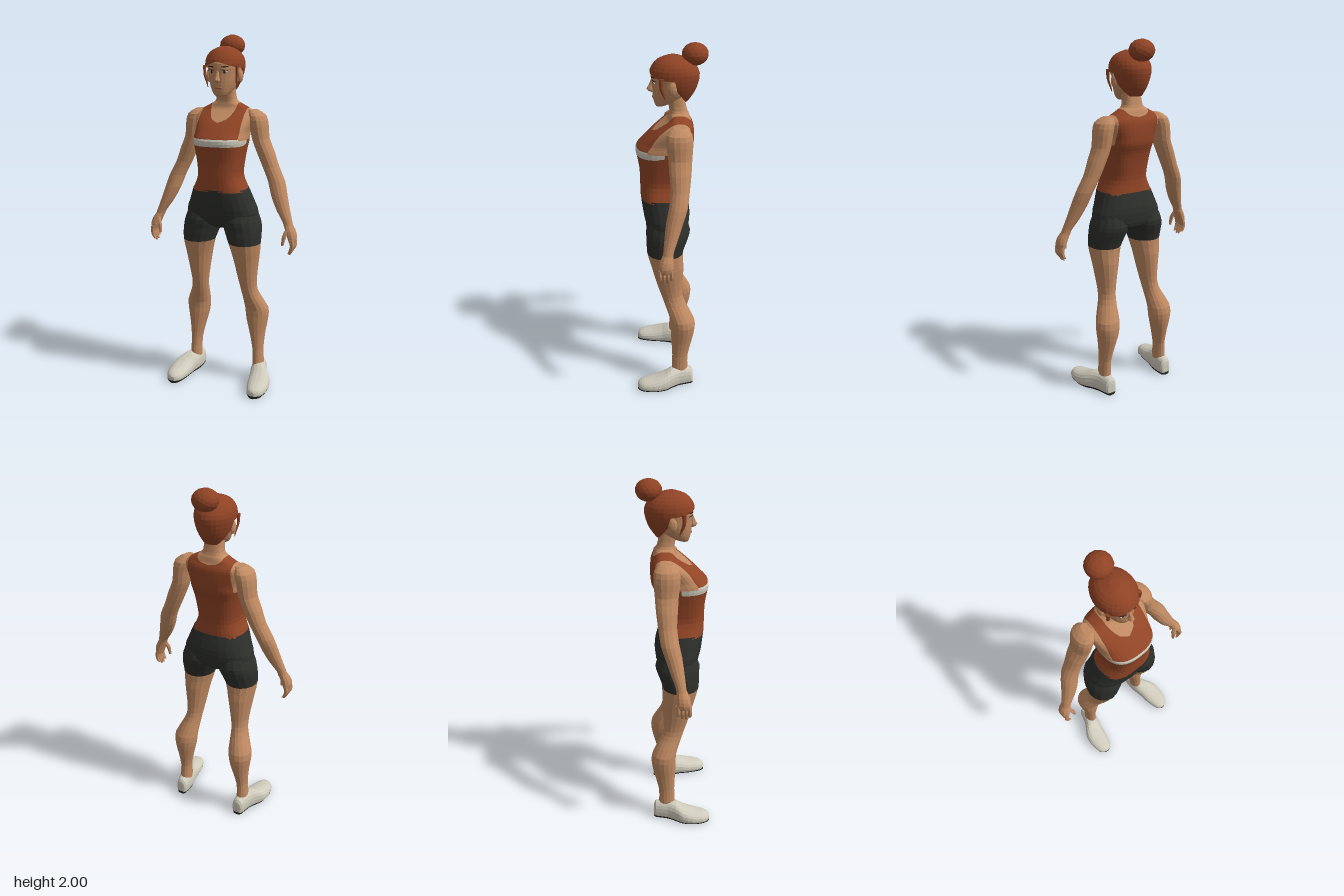
import * as THREE from 'three';

const mat = (name, color, extra = {}) => new THREE.MeshStandardMaterial({ name, color, ...extra });

// Loft through rings [x, y, z, radiusX, radiusZ]; p squares the section, sub adds curved in-between rings
function loft(rings, { n = 14, p = 2, sub = 2 } = {}) {
  const list = rings[0][1] > rings[rings.length - 1][1] ? [...rings].reverse() : rings;
  const curve = new THREE.CubicInterpolant(list.map((_, i) => i), list.flat(), 5);
  const rows = [];
  for (let i = 0; i <= (list.length - 1) * sub; i++) {
    const [x, y, z, rx, rz] = Array.from(curve.evaluate(i / sub));
    const row = [];
    for (let j = 0; j < n; j++) {
      const a = (j / n) * Math.PI * 2, c = Math.cos(a), s = Math.sin(a);
      row.push([
        x + rx * Math.sign(c) * Math.abs(c) ** (2 / p), y,
        z + rz * Math.sign(s) * Math.abs(s) ** (2 / p)
      ]);
    }
    row.center = [x, y, z];
    rows.push(row);
  }
  const out = [], last = rows[rows.length - 1];
  for (let j = 0; j < n; j++) {
    const k = (j + 1) % n;
    for (let i = 0; i < rows.length - 1; i++) {
      const a = rows[i][j], b = rows[i][k], c = rows[i + 1][j], d = rows[i + 1][k];
      out.push(a, c, b, b, c, d);
    }
    out.push(rows[0].center, rows[0][j], rows[0][k], last.center, last[k], last[j]);
  }
  return fromPoints(out);
}

function fromPoints(points) {
  const g = new THREE.BufferGeometry();
  g.setAttribute('position', new THREE.Float32BufferAttribute(points.flat(), 3));
  g.computeVertexNormals();
  return g;
}

function toPoints(geo) {
  const g = geo.index ? geo.toNonIndexed() : geo, pos = g.attributes.position, pts = [];
  for (let i = 0; i < pos.count; i++) pts.push([pos.getX(i), pos.getY(i), pos.getZ(i)]);
  return pts;
}

// Keep the part of a surface where field(x, y, z) is positive
function keep(geo, field) {
  const pts = toPoints(geo), out = [];
  for (let i = 0; i < pts.length; i += 3) {
    const poly = [];
    for (let j = 0; j < 3; j++) {
      const a = pts[i + j], b = pts[i + (j + 1) % 3], fa = field(...a), fb = field(...b);
      if (fa >= 0) poly.push(a);
      if ((fa >= 0) !== (fb >= 0)) poly.push(a.map((v, k) => v + (b[k] - v) * fa / (fa - fb)));
    }
    for (let j = 1; j + 1 < poly.length; j++) out.push(poly[0], poly[j], poly[j + 1]);
  }
  return fromPoints(out);
}

const flat = geo => fromPoints(toPoints(geo));
const not = f => (x, y, z) => -f(x, y, z);

function mirror(geo) {
  const pts = toPoints(geo).map(([x, y, z]) => [-x, y, z]);
  for (let i = 0; i < pts.length; i += 3) [pts[i + 1], pts[i + 2]] = [pts[i + 2], pts[i + 1]];
  return fromPoints(pts);
}

const blob = (x, y, z, rx, ry, rz, d = 1) =>
  flat(new THREE.IcosahedronGeometry(1, d).scale(rx, ry, rz).translate(x, y, z));

export function createModel() {
  const model = new THREE.Group();
  model.name = 'athlete';
  const skin = mat('skin', 0xc08a62);
  const shirt = mat('rust shirt', 0x914526);
  const hair = mat('auburn hair', 0x8f4325, { side: THREE.DoubleSide });
  const shorts = mat('charcoal shorts', 0x2e302c);
  const white = mat('off white', 0xcfcbbc);
  const dark = mat('dark sole', 0x262624);
  const brow = mat('dark brown', 0x3a2219);
  const lip = mat('lip', 0xa5644c);

  const add = (name, geo, material) => {
    const m = new THREE.Mesh(geo, material);
    m.name = name;
    model.add(m);
  };
  const pair = (name, geo, material) => {
    add('left ' + name, geo, material);
    add('right ' + name, mirror(geo), material);
  };

  // Torso and neck, divided into shirt, stripe and skin
  const torso = loft([
    [0, 1.17, .037, .155, .122], [0, 1.25, .041, .122, .121], [0, 1.33, .037, .127, .127],
    [0, 1.40, .035, .138, .140], [0, 1.45, .029, .146, .154], [0, 1.49, .010, .147, .140],
    [0, 1.54, -.017, .160, .113], [0, 1.58, -.040, .165, .085], [0, 1.61, -.050, .132, .060],
    [0, 1.635, -.050, .085, .052], [0, 1.66, -.045, .056, .046], [0, 1.74, -.03, .05, .045]
  ], { n: 36, p: 2.6, sub: 3 });
  const shirtArea = (x, y, z) => {
    const armhole = Math.max(1.45 - y, .127 - Math.abs(x));
    const depth = z > -.05 ? .10 : .04;
    const neckline = (Math.hypot(x / .075, (1.64 - y) / depth) - 1) * .08;
    return Math.min(armhole, neckline, 1.64 - y);
  };
  const stripeArea = (x, y, z) => Math.min(y - 1.42, 1.46 - y, z - .03);
  const top = keep(torso, shirtArea);
  add('upper body', keep(torso, not(shirtArea)), skin);
  add('tank top', keep(top, not(stripeArea)), shirt);
  add('chest stripe', keep(top, stripeArea), white);

  // Shorts hips
  add('shorts hips', loft([
    [0, 1.18, .037, .156, .124], [0, 1.10, .021, .186, .131], [0, 1.04, .015, .206, .126],
    [0, .99, .012, .17, .112], [0, .955, .01, .06, .07]
  ], { n: 24, p: 2.3 }), shorts);

  // Legs, with the shorts ending above the knee
  const leg = loft([
    [.105, 1.06, .010, .09, .10], [.111, 1.00, .012, .107, .122], [.122, .95, .017, .107, .115],
    [.137, .87, .030, .092, .100], [.143, .78, .016, .074, .090], [.146, .68, .005, .057, .075],
    [.150, .60, -.008, .047, .062], [.160, .54, -.028, .050, .062], [.183, .45, -.066, .068, .070],
    [.186, .38, -.070, .064, .070], [.190, .30, -.064, .047, .060], [.197, .20, -.055, .032, .046],
    [.200, .12, -.053, .033, .047], [.200, .06, -.053, .033, .047]
  ], { n: 16 });
  const shortsArea = (x, y) => y - .87;
  pair('shorts leg', keep(leg, shortsArea), shorts);
  pair('leg', keep(leg, not(shortsArea)), skin);

  // Shoes: lofted from heel to toe, laid down and flattened underneath
  const shoeRing = ([z, x, rx, h]) => [x, z, -h * .42, rx, h * .58];
  const shoe = fromPoints(toPoints(loft([
    [-.132, .200, .018, .07], [-.12, .200, .034, .105], [-.05, .207, .046, .118], [.0, .225, .056, .115],
    [.04, .241, .063, .096], [.10, .249, .063, .076], [.16, .252, .050, .063], [.187, .251, .034, .052],
    [.2, .25, .012, .04]
  ].map(shoeRing), { n: 18, p: 2.3 }).rotateX(Math.PI / 2)).map(([x, y, z]) => [x, Math.max(y, 0), z]));
  const soleArea = (x, y) => .016 - y;
  pair('shoe', keep(shoe, not(soleArea)), white);
  pair('shoe sole', keep(shoe, soleArea), dark);

  // Arms
  pair('arm', loft([
    [.155, 1.605, -.045, .025, .035], [.176, 1.575, -.045, .050, .066], [.190, 1.52, -.045, .050, .070],
    [.200, 1.45, -.047, .047, .063], [.228, 1.38, -.047, .049, .058], [.260, 1.30, -.045, .046, .050],
    [.299, 1.22, -.034, .047, .049], [.321, 1.15, -.015, .046, .045], [.352, 1.07, .005, .038, .036],
    [.382, 1.01, .020, .027, .028], [.392, .98, .024, .026, .028]
  ]), skin);

  // Hands: palm, thumb and four fingers
  pair('palm', loft([
    [.386, 1.00, .022, .024, .026], [.403, .965, .030, .029, .035], [.415, .93, .034, .026, .040],
    [.418, .90, .036, .017, .036]
  ], { n: 10 }), skin);
  pair('thumb', loft([
    [.393, .975, .045, .012, .014], [.377, .935, .062, .012, .013], [.370, .885, .068, .007, .008]
  ], { n: 6 }), skin);
  [.842, .832, .834, .85].forEach((tip, i) => {
    const z = .066 - i * .02;
    pair('finger ' + (i + 1), loft([
      [.419, .92, z, .013, .011], [.424, .885, z, .012, .011], [.415, .857, z, .010, .010],
      [.405, tip, z, .006, .006]
    ], { n: 6 }), skin);
  });

  // Head, ears and nose
  add('head', loft([
    [0, 1.676, .050, .020, .020], [0, 1.69, .036, .042, .042], [0, 1.72, .008, .063, .078],
    [0, 1.76, -.004, .077, .094], [0, 1.80, -.014, .085, .106], [0, 1.85, -.018, .090, .114],
    [0, 1.90, -.018, .075, .088], [0, 1.925, -.02, .03, .04]
  ], { n: 24 }), skin);
  pair('ear', blob(.092, 1.785, -.012, .014, .036, .024), skin);
  add('nose', loft([
    [0, 1.752, .092, .010, .010], [0, 1.765, .098, .016, .021], [0, 1.785, .094, .010, .014],
    [0, 1.815, .088, .008, .008]
  ], { n: 8 }), skin);

  // Eyes, brows and mouth
  pair('eye', blob(.037, 1.808, .0795, .016, .008, .006), white);
  pair('iris', blob(.036, 1.808, .083, .007, .008, .0045), brow);
  const strip = (y, z, w, h, tilt) => flat(new THREE.BoxGeometry(w, h, .008)
    .rotateZ(tilt).rotateY(.4).translate(.038, y, z));
  pair('eyelash', strip(1.817, .082, .036, .004, -.05), brow);
  pair('eyebrow', strip(1.835, .084, .038, .006, .08), brow);
  add('mouth', blob(0, 1.725, .083, .023, .007, .007), lip);

  // Hair cap with hairline, side strands and bun
  const cap = loft([
    [0, 1.705, -.055, .050, .043], [0, 1.75, -.040, .078, .090], [0, 1.80, -.025, .099, .125],
    [0, 1.85, -.025, .106, .131], [0, 1.89, -.023, .096, .112], [0, 1.92, -.020, .068, .080],
    [0, 1.94, -.018, .022, .026]
  ], { n: 26 });
  add('hair', keep(cap, (x, y, z) => Math.max(
    y - 1.863 + .35 * Math.abs(x),
    -.03 - z - Math.max(0, 1.78 - y) * .7
  )), hair);
  pair('hair strand', loft([
    [.093, 1.84, .045, .008, .014], [.092, 1.79, .046, .006, .010], [.086, 1.755, .034, .005, .008],
    [.084, 1.725, .022, .002, .002]
  ], { n: 6 }), hair);
  add('hair bun', blob(0, 1.943, -.131, .07, .058, .069, 2), hair);

  return model;
}
